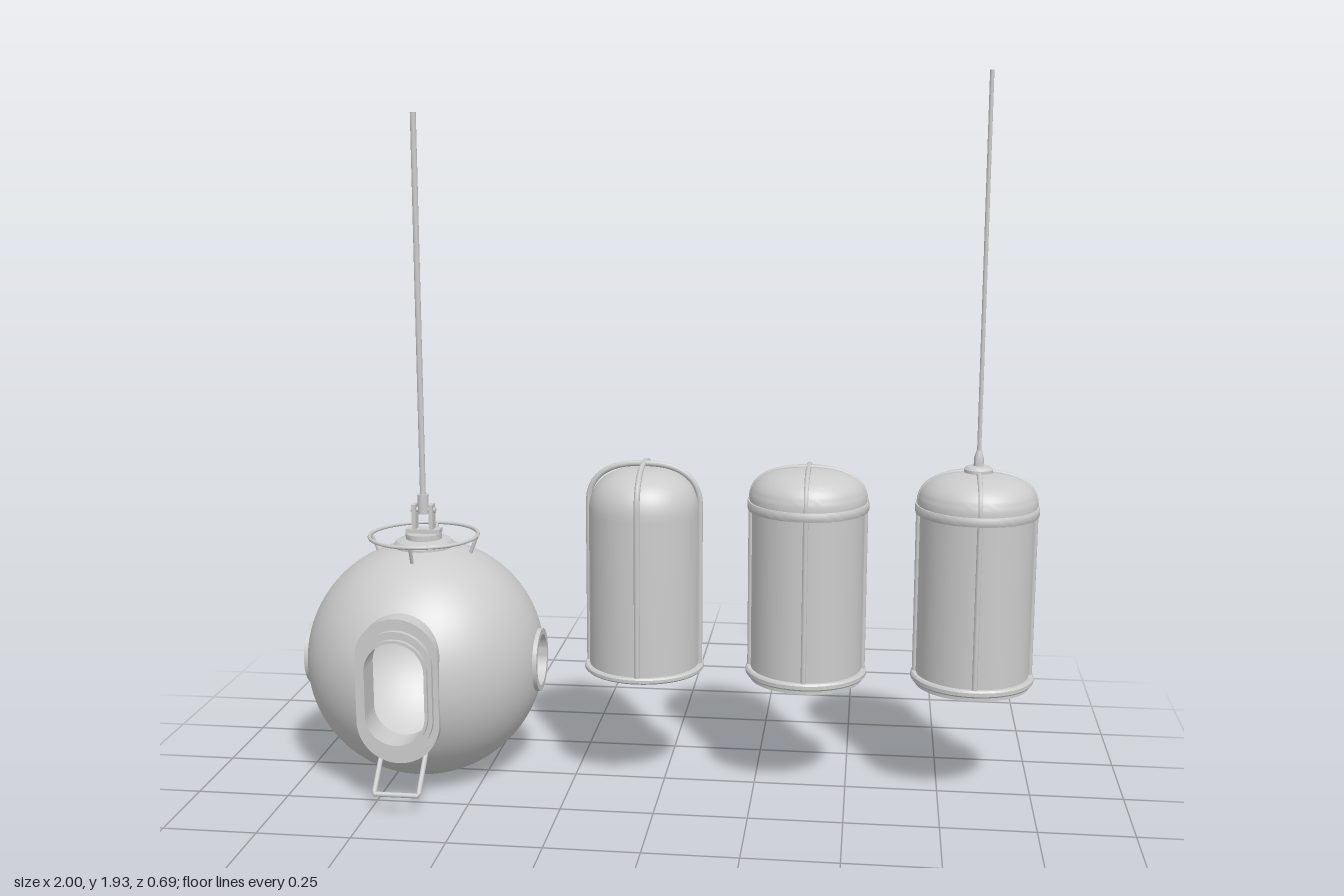
import * as THREE from 'three';
import { toCreasedNormals } from 'three/addons/utils/BufferGeometryUtils.js';

const grey = new THREE.MeshStandardMaterial({ color: 0xcccccc, side: THREE.DoubleSide });
const V = (x, y, z) => new THREE.Vector3(x, y, z);

function add(parent, name, geometry, x = 0, y = 0, z = 0) {
  const mesh = new THREE.Mesh(geometry, grey);
  mesh.name = name;
  mesh.position.set(x, y, z);
  parent.add(mesh);
  return mesh;
}

const lathe = (pts, seg = 64) =>
  toCreasedNormals(new THREE.LatheGeometry(pts.map(([r, y]) => new THREE.Vector2(r, y)), seg), 0.6);

const cylinder = (r, h, seg = 16) => new THREE.CylinderGeometry(r, r, h, seg);

// Tube that follows straight runs between points
function rod(points, radius, sides = 8) {
  const path = new THREE.CurvePath();
  for (let i = 1; i < points.length; i++) path.add(new THREE.LineCurve3(points[i - 1], points[i]));
  return new THREE.TubeGeometry(path, 16 * (points.length - 1), radius, sides);
}

// Upright rounded slot, hw = half width, hh = half height
function slot(hw, hh, Type = THREE.Shape) {
  const s = new Type();
  s.absarc(0, hh - hw, hw, 0, Math.PI);
  s.absarc(0, hw - hh, hw, Math.PI, Math.PI * 2);
  s.closePath();
  return s;
}

function slotRing(hw, hh, holeW, holeH, z0, z1) {
  const s = slot(hw, hh);
  s.holes.push(slot(holeW, holeH, THREE.Path));
  const g = new THREE.ExtrudeGeometry(s, { depth: z1 - z0, bevelEnabled: false, curveSegments: 24 });
  return toCreasedNormals(g.translate(0, 0, z0), 0.6);
}

// Hollow ball: open at both sides, with a slot cut through the front
function ballShell(R, portRadius, hw, hh) {
  const a = Math.asin(portRadius / R), pts = [];
  for (let i = 0; i <= 80; i++) {
    const t = Math.PI - a - (Math.PI - 2 * a) * i / 80;
    pts.push(new THREE.Vector2(R * Math.sin(t), R * Math.cos(t)));
  }
  const g = new THREE.LatheGeometry(pts, 160).rotateZ(-Math.PI / 2);
  const p = g.attributes.position, old = g.index.array, kept = [];
  for (let i = 0; i < old.length; i += 3) {
    const f = [old[i], old[i + 1], old[i + 2]];
    const mean = k => f.reduce((s, v) => s + p[k](v), 0) / 3;
    const dy = Math.max(0, Math.abs(mean('getY')) - (hh - hw));
    if (mean('getZ') < 0 || Math.hypot(mean('getX'), dy) > hw) kept.push(...f);
  }
  g.setIndex(kept);
  return g;
}

function makeBall() {
  const ball = new THREE.Group();
  ball.name = 'ballChamber';
  const cy = 0.333, R = 0.328;
  add(ball, 'ballShell', ballShell(R, 0.078, 0.094, 0.165), 0, cy);

  // Round side ports
  for (const s of [-1, 1]) {
    const port = add(ball, s > 0 ? 'leftPort' : 'rightPort',
      lathe([[0.07, 0.295], [0.087, 0.295], [0.087, 0.328], [0.07, 0.328], [0.07, 0.295]], 48), 0, cy);
    port.rotation.z = -s * Math.PI / 2;
  }

  // Stepped hatch collar
  add(ball, 'hatchCollar', slotRing(0.112, 0.198, 0.082, 0.142, 0.25, 0.315), 0, cy);
  add(ball, 'hatchRim', slotRing(0.098, 0.168, 0.082, 0.142, 0.315, 0.33), 0, cy);
  add(ball, 'hatchLip', slotRing(0.088, 0.148, 0.08, 0.14, 0.33, 0.342), 0, cy);

  // Sloping step under the hatch
  add(ball, 'step', rod([V(-0.06, 0.16, 0.25), V(-0.06, 0.06, 0.35), V(0.06, 0.06, 0.35), V(0.06, 0.16, 0.25)], 0.007));

  // Guard ring on four legs
  add(ball, 'guardRing', new THREE.TorusGeometry(0.149, 0.005, 8, 64).rotateX(Math.PI / 2), 0, 0.68);
  for (let i = 0; i < 4; i++) {
    const leg = add(ball, 'guardLeg', rod([V(0.149, 0.68, 0), V(0.13, 0.632, 0)], 0.005));
    leg.rotation.y = i * Math.PI / 2;
  }

  // Crown, lifting bracket and cable
  add(ball, 'crown', lathe([[0.083, 0.64], [0.083, 0.657], [0.075, 0.667], [0.05, 0.672], [0.05, 0.687], [0, 0.687]], 48));
  add(ball, 'bracketBase', new THREE.BoxGeometry(0.096, 0.012, 0.034), 0, 0.693);
  for (const s of [-1, 1]) add(ball, 'bracketArm', new THREE.BoxGeometry(0.011, 0.075, 0.032), s * 0.024, 0.73);
  add(ball, 'bracketPin', cylinder(0.007, 0.07).rotateZ(Math.PI / 2), 0, 0.752);
  add(ball, 'cableSocket', cylinder(0.015, 0.055), 0, 0.768);
  add(ball, 'cable', cylinder(0.008, 1.06), 0, 1.3);
  return ball;
}

// Shoulder curve from the wall to the crown, as [radius, height]
function dome(r, y0, h) {
  const pts = [];
  for (let i = 0; i <= 16; i++) {
    const t = i / 16 * Math.PI / 2;
    pts.push([r * Math.pow(Math.max(0, Math.cos(t)), 0.8), y0 + h * Math.pow(Math.sin(t), 0.85)]);
  }
  pts[16][0] = 0;
  return pts;
}

// Four ribs that climb the wall and meet on the crown
function addRibs(parent, r, yFoot, y0, h, tube) {
  const pts = [[r, yFoot], [r, (yFoot + y0) / 2], ...dome(r, y0, h)].map(([x, y]) => V(x, y, 0));
  for (let i = 0; i < 4; i++) {
    const rib = add(parent, 'rib', new THREE.TubeGeometry(new THREE.CatmullRomCurve3(pts), 48, tube, 8));
    rib.rotation.y = i * Math.PI / 2;
  }
}

// Closed bell with raised rib arches
function makeSealedBell() {
  const bell = new THREE.Group();
  bell.name = 'sealedBell';
  add(bell, 'bellBody', lathe([[0, 0.335], [0.15, 0.335], ...dome(0.15, 0.765, 0.12)]));
  add(bell, 'baseFlange', lathe([[0, 0.326], [0.16, 0.326], [0.164, 0.33], [0.164, 0.338], [0.16, 0.342], [0.148, 0.342]]));
  addRibs(bell, 0.152, 0.34, 0.785, 0.113, 0.008);
  return bell;
}

// Bell with an open foot and a separate cap
function makeOpenBell() {
  const bell = new THREE.Group();
  bell.name = 'openBell';
  add(bell, 'bellBody', lathe([[0.15, 0.34], [0.15, 0.8]]));
  add(bell, 'bellCap', lathe([[0.155, 0.785], ...dome(0.157, 0.808, 0.09)]));
  add(bell, 'capBand', lathe([[0.15, 0.784], [0.161, 0.784], [0.163, 0.788], [0.163, 0.804], [0.161, 0.808], [0.15, 0.808]]));
  add(bell, 'baseFlange', lathe([[0.108, 0.345], [0.108, 0.314], [0.152, 0.314], [0.152, 0.326], [0.161, 0.326],
    [0.164, 0.33], [0.164, 0.34], [0.16, 0.345], [0.108, 0.345]]));
  addRibs(bell, 0.153, 0.34, 0.808, 0.09, 0.007);
  return bell;
}

export function createModel() {
  const model = new THREE.Group();
  model.name = 'divingChambers';
  const place = (group, x) => {
    group.position.set(x, 0, -0.01);
    model.add(group);
    return group;
  };
  place(makeBall(), -0.672);
  place(makeSealedBell(), -0.057);
  place(makeOpenBell(), 0.387);

  // Last bell hangs from a cable
  const hung = place(makeOpenBell(), 0.834);
  hung.name = 'hangingBell';
  add(hung, 'hub', lathe([[0.038, 0.885], [0.038, 0.905], [0.03, 0.912], [0.013, 0.914], [0.013, 0.935], [0.007, 0.955], [0, 0.955]], 32));
  add(hung, 'cable', cylinder(0.0055, 1.0), 0, 1.437);
  return model;
}
